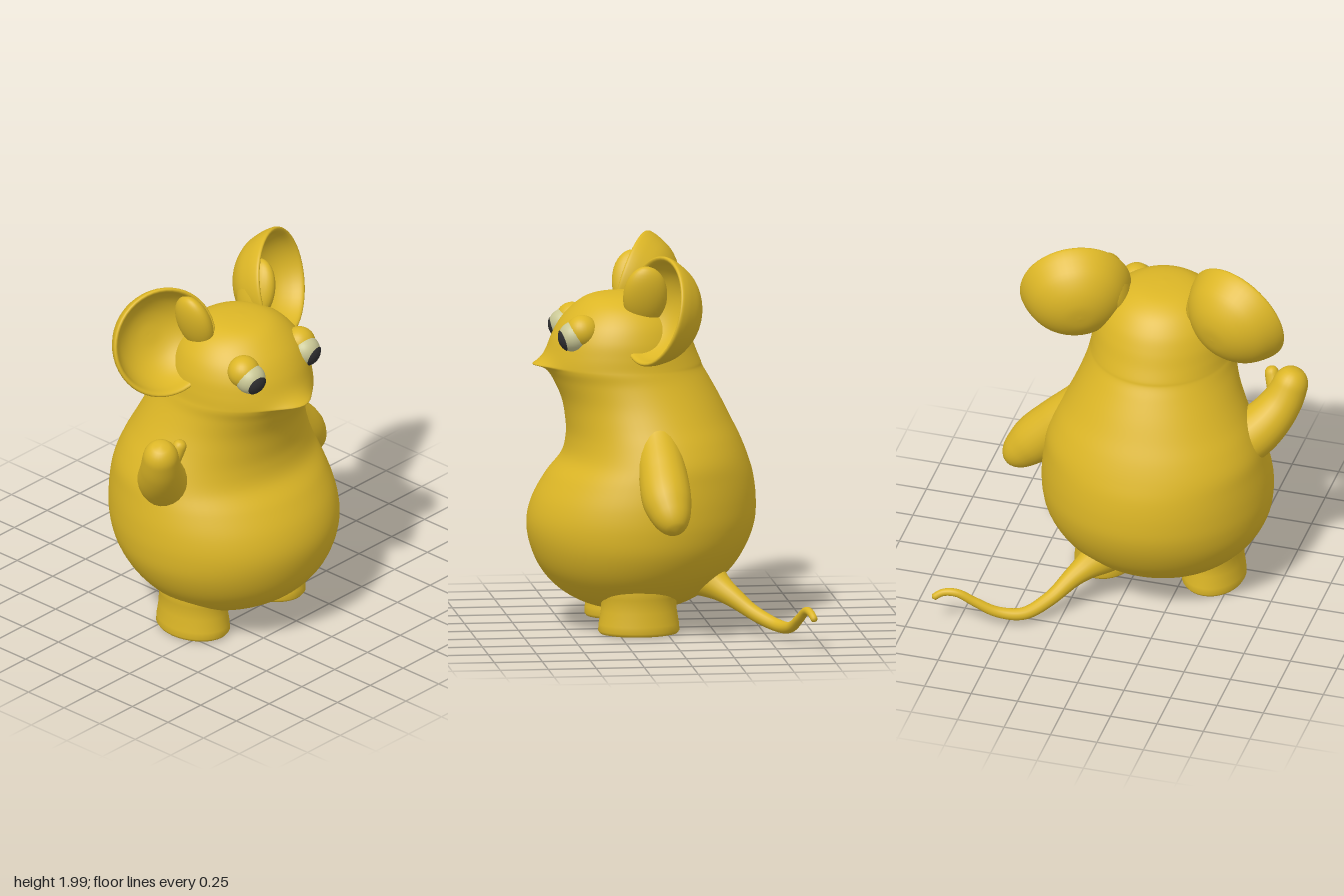
import * as THREE from 'three';
import { mergeVertices } from 'three/addons/utils/BufferGeometryUtils.js';

const fur = new THREE.MeshStandardMaterial({ color: 0xdcb626 });
fur.name = 'goldenFur';
const white = new THREE.MeshStandardMaterial({ color: 0xc9c795 });
white.name = 'eyeWhite';
const dark = new THREE.MeshStandardMaterial({ color: 0x303032 });
dark.name = 'pupilDark';

const V = (x, y, z) => new THREE.Vector3(x, y, z);

function part(parent, name, geometry, material = fur) {
  const mesh = new THREE.Mesh(geometry, material);
  mesh.name = name;
  parent.add(mesh);
  return mesh;
}

// Catmull-Rom through a list of numbers, t in 0..1
function spline(v, t) {
  const f = t * (v.length - 1), i = Math.min(Math.floor(f), v.length - 2), u = f - i;
  const b = v[i], c = v[i + 1], a = v[i - 1] ?? b, d = v[i + 2] ?? c;
  return b + 0.5 * u * (c - a + u * (2 * a - 5 * b + 4 * c - d + u * (3 * (b - c) + d - a)));
}

// Tapered tube with a rounded end
function limb(points, radii, segments = 48, sides = 24) {
  const curve = new THREE.CatmullRomCurve3(points.map(p => V(...p)));
  const length = curve.getLength();
  const geo = new THREE.TubeGeometry(curve, segments, 1, sides);
  const pos = geo.attributes.position, nor = geo.attributes.normal;
  for (let i = 0; i < pos.count; i++) {
    const u = Math.floor(i / (sides + 1)) / segments;
    let r = spline(radii, u);
    const d = (1 - u) * length;
    if (d < r) r = Math.sqrt(Math.max(0, r * r - (r - d) ** 2));
    const p = curve.getPointAt(u).addScaledVector(V(0, 0, 0).fromBufferAttribute(nor, i), r);
    pos.setXYZ(i, p.x, p.y, p.z);
  }
  geo.deleteAttribute('uv');
  geo.deleteAttribute('normal');
  const merged = mergeVertices(geo, 1e-5);
  merged.computeVertexNormals();
  return merged;
}

// Body and head cross-sections: height, half width, front z, back z
const SECTIONS = [
  [0.108, 0, 0.14, 0.14], [0.115, 0.2, 0.31, -0.05], [0.15, 0.33, 0.43, -0.16],
  [0.22, 0.43, 0.54, -0.27], [0.32, 0.52, 0.625, -0.375], [0.44, 0.58, 0.675, -0.45],
  [0.56, 0.6, 0.69, -0.49], [0.68, 0.597, 0.66, -0.495], [0.8, 0.58, 0.59, -0.48],
  [0.9, 0.56, 0.51, -0.45], [1.0, 0.52, 0.485, -0.41], [1.1, 0.47, 0.49, -0.36],
  [1.2, 0.425, 0.51, -0.31], [1.3, 0.39, 0.555, -0.255], [1.36, 0.378, 0.59, -0.22],
  [1.39, 0.372, 0.597, -0.21], [1.45, 0.365, 0.585, -0.185], [1.53, 0.35, 0.56, -0.155],
  [1.61, 0.315, 0.515, -0.115], [1.68, 0.255, 0.45, -0.055], [1.725, 0.18, 0.385, 0.02],
  [1.745, 0.1, 0.31, 0.1], [1.752, 0, 0.21, 0.21],
];

function bodyGeometry() {
  const rings = (SECTIONS.length - 1) * 6, sides = 72, pos = [], idx = [];
  const column = k => SECTIONS.map(s => s[k]);
  const cols = [0, 1, 2, 3].map(column);
  for (let i = 0; i <= rings; i++) {
    const [y, w, zf, zb] = cols.map(c => spline(c, i / rings));
    const mid = (zf + zb) / 2, half = (zf - zb) / 2;
    // Pointed snout: soft above, undercut sharply below
    const snout = y > 1.38 ? Math.exp(-(y - 1.38) / 0.035) : Math.exp((y - 1.38) / 0.012);
    for (let j = 0; j < sides; j++) {
      const a = j / sides * Math.PI * 2, x = w * Math.cos(a);
      let z = mid + half * Math.sin(a);
      if (Math.sin(a) > 0) z += 0.072 * snout * Math.exp(-((x / 0.13) ** 2));
      pos.push(x, y, z);
      if (i < rings) {
        const p = i * sides + j, q = i * sides + (j + 1) % sides;
        idx.push(p, p + sides, q, q, p + sides, q + sides);
      }
    }
  }
  const geo = new THREE.BufferGeometry();
  geo.setAttribute('position', new THREE.Float32BufferAttribute(pos, 3));
  geo.setIndex(idx);
  const merged = mergeVertices(geo, 1e-5);
  merged.computeVertexNormals();
  return merged;
}

// Cupped ear: outer bowl, rounded rim, inner bowl
function earGeometry() {
  const profile = [
    [0, -0.235], [0.08, -0.228], [0.16, -0.195], [0.23, -0.135], [0.272, -0.06],
    [0.288, -0.01], [0.286, 0.008], [0.275, 0.01], [0.263, -0.005], [0.245, -0.055],
    [0.205, -0.115], [0.14, -0.165], [0.07, -0.19], [0, -0.195],
  ].map(p => new THREE.Vector2(...p));
  return new THREE.LatheGeometry(new THREE.SplineCurve(profile).getPoints(52), 48);
}

// Short leg ending in a flat, softly rounded foot
function legGeometry() {
  const profile = [
    [0, 0.005], [0.135, 0.005], [0.155, 0.01], [0.164, 0.025], [0.162, 0.06],
    [0.153, 0.13], [0.152, 0.2], [0.17, 0.27], [0.14, 0.36], [0, 0.4],
  ].map(p => new THREE.Vector2(...p));
  return new THREE.LatheGeometry(profile, 36);
}

export function createModel() {
  const model = new THREE.Group();
  model.name = 'mouse';
  const torso = new THREE.Group();
  torso.name = 'bodyAndHead';
  torso.position.x = -0.113;
  model.add(torso);
  part(torso, 'body', bodyGeometry());

  const up = V(0, 1, 0);
  for (const [s, side] of [[1, 'left'], [-1, 'right']]) {
    const ear = part(torso, side + 'Ear', earGeometry());
    ear.position.set(s * 0.44, 1.715, 0.085);
    ear.quaternion.setFromUnitVectors(up, V(s * 0.37, 0.25, 0.9).normalize());

    // Thick fold joining ear and head
    const fold = part(torso, side + 'EarFold', new THREE.SphereGeometry(1, 28, 20));
    fold.scale.set(0.065, 0.17, 0.115);
    fold.position.set(s * 0.235, 1.76, 0.105);
    fold.rotation.z = -s * 0.3;

    const leg = part(torso, side + 'Leg', legGeometry());
    leg.scale.z = 1.29;
    leg.position.set(s * 0.289, 0, 0.145);

    // Eye: white ball, pupil cap, brow
    const eye = V(s * 0.208, 1.553, 0.472);
    part(torso, side + 'EyeWhite', new THREE.SphereGeometry(0.08, 28, 20), white).position.copy(eye);
    const pupil = part(torso, side + 'Pupil', new THREE.SphereGeometry(0.084, 28, 10, 0, Math.PI * 2, 0, 0.74), dark);
    pupil.position.copy(eye);
    pupil.quaternion.setFromUnitVectors(up, V(s * 0.012, -0.025, 0.078).normalize());
    const brow = part(torso, side + 'Brow', new THREE.SphereGeometry(0.085, 28, 20));
    brow.position.set(s * 0.212, 1.58, 0.43);
  }

  // Lowered left arm
  const arm = part(model, 'leftArm', limb(
    [[0.28, 1.02, 0.06], [0.42, 0.87, 0.05], [0.54, 0.745, 0.04], [0.675, 0.61, 0.01]],
    [0.11, 0.125, 0.125, 0.075]));
  arm.name = 'loweredArm';

  // Raised right arm with a thumb
  part(model, 'raisedArm', limb(
    [[-0.5, 0.87, 0.08], [-0.64, 0.97, 0.15], [-0.74, 1.1, 0.23], [-0.805, 1.285, 0.29]],
    [0.15, 0.13, 0.105, 0.085]));
  part(model, 'thumb', limb(
    [[-0.72, 1.1, 0.25], [-0.685, 1.18, 0.28], [-0.657, 1.262, 0.305]],
    [0.05, 0.042, 0.034], 24, 16));

  // Curling tail
  part(model, 'tail', limb(
    [[0.08, 0.29, -0.2], [0.21, 0.2, -0.33], [0.31, 0.115, -0.45], [0.42, 0.07, -0.555], [0.55, 0.085, -0.6],
      [0.66, 0.145, -0.63], [0.75, 0.2, -0.655], [0.82, 0.2, -0.67], [0.875, 0.165, -0.688]],
    [0.11, 0.065, 0.043, 0.036, 0.031, 0.026, 0.022, 0.018], 80, 16));
  return model;
}
